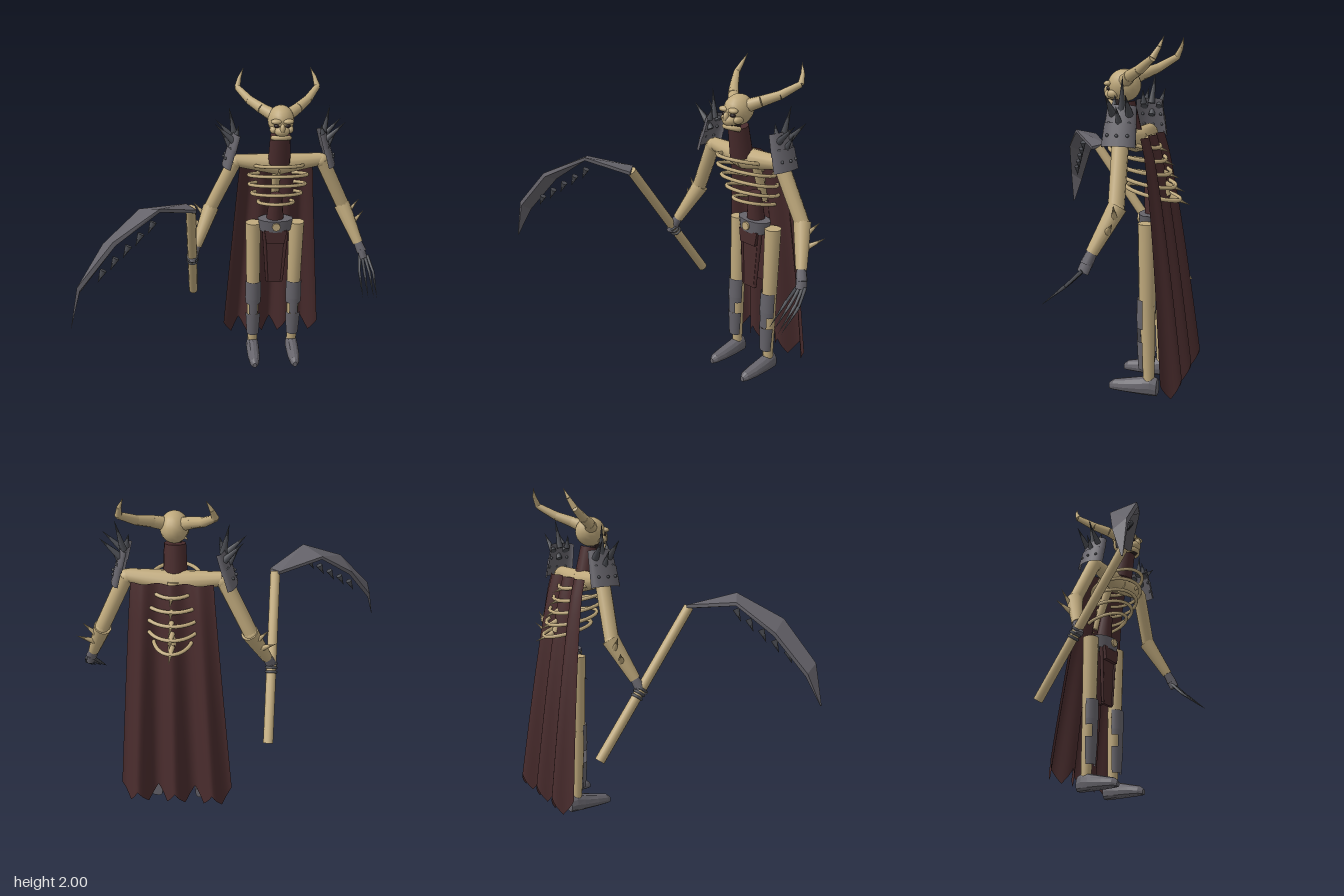
import * as THREE from 'three';

const mat = (name, color, side = THREE.FrontSide) => {
  const m = new THREE.MeshStandardMaterial({ color, side });
  m.name = name;
  return m;
};
const V = (x, y, z) => new THREE.Vector3(x, y, z);

export function createModel() {
  const root = new THREE.Group();
  root.name = 'hornedSkeletonReaper';
  const body = new THREE.Group();
  body.name = 'body';
  body.position.x = 0.3;
  root.add(body);

  const bone = mat('bone', 0xbfa97c);
  const steel = mat('steel', 0x65636a, THREE.DoubleSide);
  const darkSteel = mat('dark steel', 0x4a4c52);
  const cloth = mat('dark red cloth', 0x482b2c, THREE.DoubleSide);
  const dark = mat('mouth shadow', 0x2a2020);

  const add = (name, geo, m, parent = body) => {
    const mesh = new THREE.Mesh(geo, m);
    mesh.name = name;
    parent.add(mesh);
    return mesh;
  };
  // Tapered rod between two points
  const rod = (name, a, b, r1, r2, m, parent = body, sides = 12) => {
    const d = b.clone().sub(a);
    const mesh = add(name, new THREE.CylinderGeometry(r2, r1, d.length(), sides), m, parent);
    mesh.position.copy(a).addScaledVector(d, 0.5);
    mesh.quaternion.setFromUnitVectors(V(0, 1, 0), d.normalize());
    return mesh;
  };
  const ball = (name, p, s, m, parent = body) => {
    const mesh = add(name, new THREE.SphereGeometry(1, 16, 12), m, parent);
    mesh.position.copy(p);
    mesh.scale.copy(s);
    return mesh;
  };
  // Closed skin over equal-sized rings of points
  const loft = (rings) => {
    const n = rings[0].length, pos = rings.flat().flatMap((p) => [p.x, p.y, p.z]), idx = [];
    for (let i = 0; i < rings.length - 1; i++)
      for (let j = 0; j < n; j++) {
        const a = i * n + j, b = i * n + (j + 1) % n;
        idx.push(a, b, a + n, b, b + n, a + n);
      }
    for (let j = 1; j < n - 1; j++) {
      const e = (rings.length - 1) * n;
      idx.push(0, j + 1, j, e, e + j, e + j + 1);
    }
    const g = new THREE.BufferGeometry();
    g.setAttribute('position', new THREE.Float32BufferAttribute(pos, 3));
    g.setIndex(idx);
    const flat = g.toNonIndexed();
    flat.computeVertexNormals();
    return flat;
  };

  // Skull, muzzle and open jaw
  ball('cranium', V(0, 1.735, -0.2), V(0.08, 0.09, 0.095), bone);
  ball('upperJaw', V(0, 1.685, -0.135), V(0.048, 0.035, 0.05), bone);
  ball('noseRidge', V(0, 1.705, -0.1), V(0.016, 0.03, 0.02), bone);
  const mouth = add('mouth', new THREE.BoxGeometry(0.065, 0.04, 0.07), dark);
  mouth.position.set(0, 1.652, -0.15);
  const jaw = add('lowerJaw', new THREE.TorusGeometry(0.05, 0.015, 8, 16, Math.PI), bone);
  jaw.position.set(0, 1.635, -0.16);
  jaw.rotation.x = Math.PI / 2 - 0.25;
  rod('neck', V(0, 1.46, -0.235), V(0, 1.64, -0.2), 0.07, 0.062, cloth);

  // Spine, ribs and back spikes
  rod('spine', V(0, 1.46, -0.33), V(0, 1.13, -0.45), 0.03, 0.025, bone);
  rod('abdomen', V(0, 1.2, -0.36), V(0, 1.0, -0.385), 0.04, 0.06, cloth);
  const ribW = [0.15, 0.185, 0.18, 0.16, 0.115];
  ribW.forEach((w, i) => {
    const y = 1.435 - i * 0.072, z = -0.25 - i * 0.03, pts = [];
    for (let k = 0; k < 20; k++) {
      const a = (k / 20) * Math.PI * 2;
      pts.push(V(w * Math.cos(a), y + 0.035 * Math.sin(a), z + 0.155 * Math.sin(a)));
    }
    add('rib', new THREE.TubeGeometry(new THREE.CatmullRomCurve3(pts, true), 40, 0.0115, 7, true), bone);
    rod('backSpike', V(0, y - 0.02, z - 0.1), V(0, y - 0.06, z - 0.215), 0.02, 0, bone, body, 8);
  });

  // Belt and buckle
  const belt = add('belt', new THREE.CylinderGeometry(0.12, 0.105, 0.08, 10), steel);
  belt.position.set(0, 0.99, -0.37);
  belt.scale.z = 0.62;
  const buckle = add('buckle', new THREE.CylinderGeometry(0.028, 0.028, 0.012, 8), bone);
  buckle.position.set(0, 0.995, -0.293);
  buckle.rotation.x = Math.PI / 2;

  // Loincloth: short flap over a long tapered panel with side strips
  const rect = (w, y, z, t) => [V(-w, y, z + t), V(w, y, z + t), V(w, y, z - t), V(-w, y, z - t)];
  add('loinclothFlap', loft([rect(0.06, 0.87, -0.325, 0.012), rect(0.075, 0.96, -0.325, 0.012)].reverse()), cloth);
  add('loincloth', loft([rect(0.075, 0.95, -0.35, 0.01), rect(0.05, 0.57, -0.35, 0.01)]), cloth);
  for (const s of [-1, 1]) {
    rod('loinclothStrip', V(s * 0.075, 0.95, -0.345), V(s * 0.05, 0.58, -0.345), 0.014, 0.01, cloth, body, 6);
  }
  add('backCloth', loft([rect(0.08, 0.95, -0.41, 0.01), rect(0.055, 0.6, -0.435, 0.01)]), cloth);

  // Cape with three folds and a ragged hem
  const cape = new THREE.PlaneGeometry(1, 1, 48, 14), cp = cape.attributes.position;
  for (let i = 0; i < cp.count; i++) {
    const u = cp.getX(i) + 0.5, t = 0.5 - cp.getY(i);
    const hem = 0.06 + 0.1 * Math.abs(((u * 6) % 1) * 2 - 1);
    const fold = Math.cos((u - 0.5) * Math.PI * 6);
    cp.setXYZ(i, (u - 0.5) * (0.46 + 0.22 * t), 1.47 + (hem - 1.47) * t,
      -0.375 - 0.19 * Math.pow(t, 0.75) - (0.012 + 0.034 * t) * fold);
  }
  cape.computeVertexNormals();
  add('cape', cape, cloth);

  for (const s of [-1, 1]) {
    const P = (x, y, z) => V(s * x, y, z);
    // Horn
    const horn = [P(0.035, 1.755, -0.21), P(0.11, 1.79, -0.265), P(0.18, 1.825, -0.34), P(0.25, 1.885, -0.43), P(0.235, 1.94, -0.46), P(0.207, 2, -0.48)];
    const hr = [0.04, 0.033, 0.027, 0.019, 0.012, 0];
    for (let i = 0; i < 5; i++) rod('horn', horn[i], horn[i + 1], hr[i], hr[i + 1], bone, body, 10);
    // Brow, eye socket and cheek
    ball('brow', P(0.036, 1.745, -0.118), V(0.034, 0.016, 0.025), bone);
    ball('eyeSocket', P(0.032, 1.718, -0.122), V(0.018, 0.012, 0.016), dark);
    ball('cheek', P(0.05, 1.69, -0.15), V(0.022, 0.024, 0.035), bone);

    // Collar bone and arm
    rod('collarBone', V(0, 1.435, -0.27), P(0.27, 1.465, -0.27), 0.068, 0.04, bone);
    ball('shoulder', P(0.27, 1.455, -0.27), V(0.045, 0.045, 0.045), bone);
    rod('upperArm', P(0.275, 1.46, -0.27), P(0.435, 1.13, -0.3), 0.045, 0.043, bone);
    ball('elbow', P(0.435, 1.13, -0.3), V(0.045, 0.045, 0.045), bone);
    rod('forearm', P(0.425, 1.145, -0.305), P(0.525, 0.915, -0.2), 0.052, 0.033, bone);
    rod('elbowSpike', P(0.46, 1.08, -0.3), P(0.54, 1.175, -0.32), 0.02, 0, bone, body, 8);
    rod('elbowSpike', P(0.49, 1.02, -0.27), P(0.58, 1.09, -0.33), 0.02, 0, bone, body, 8);
    rod('wrist', P(0.515, 0.94, -0.21), P(0.55, 0.86, -0.18), 0.026, 0.034, steel, body, 8);
    const palm = rod('palm', P(0.545, 0.875, -0.185), P(0.56, 0.82, -0.165), 0.036, 0.036, steel, body, 8);
    palm.scale.z = 0.7;

    // Shoulder plates, rivets and spikes
    for (let k = 0; k < 2; k++) {
      const g = new THREE.CylinderGeometry(0.08 + k * 0.008, 0.088 + k * 0.006, 0.125, 10, 1, true, -0.25, Math.PI + 0.5);
      const plate = add('shoulderPlate', g, steel);
      plate.scale.set(s * 0.45, 1, 1);
      plate.position.copy(P(0.268 + k * 0.03, 1.58 - k * 0.09, -0.27));
      plate.rotation.z = s * 0.27;
      for (let j = -1; j <= 1; j++)
        ball('rivet', P(0.315 + k * 0.03 - Math.abs(j) * 0.012, 1.555 - k * 0.06, -0.27 + j * 0.055), V(0.009, 0.009, 0.009), darkSteel);
    }
    rod('shoulderSpike', P(0.275, 1.62, -0.275), P(0.31, 1.8, -0.29), 0.022, 0, darkSteel, body, 8);
    rod('shoulderSpike', P(0.285, 1.6, -0.23), P(0.4, 1.71, -0.225), 0.022, 0, darkSteel, body, 8);
    rod('shoulderSpike', P(0.285, 1.6, -0.32), P(0.39, 1.71, -0.33), 0.022, 0, darkSteel, body, 8);
    rod('shoulderSpike', P(0.27, 1.62, -0.23), P(0.25, 1.7, -0.23), 0.02, 0, darkSteel, body, 8);
    rod('shoulderSpike', P(0.3, 1.55, -0.27), P(0.36, 1.65, -0.27), 0.02, 0, darkSteel, body, 8);

    // Leg
    rod('thigh', P(0.145, 1.0, -0.38), P(0.14, 0.52, -0.385), 0.051, 0.046, bone, body, 14);
    rod('shin', P(0.14, 0.53, -0.385), P(0.14, 0.07, -0.4), 0.046, 0.032, bone, body, 14);
    // Greave: knee guard, notched shin guard
    const shell = (name, r1, r2, h, y, start, len) => {
      const m = add(name, new THREE.CylinderGeometry(r1, r2, h, 10, 1, true, start, len), steel);
      m.position.copy(P(0.14, y, -0.38));
    };
    shell('kneeGuard', 0.053, 0.055, 0.13, 0.505, -1.45, 2.9);
    shell('shinGuard', 0.054, 0.052, 0.05, 0.425, -1.45, 2.9);
    shell('shinGuard', 0.052, 0.05, 0.08, 0.365, -0.6, 1.2);
    shell('shinGuard', 0.052, 0.042, 0.17, 0.24, -1.45, 2.9);
    // Pointed shoe
    const foot = [[-0.45, 0.036, 0.1], [-0.41, 0.043, 0.115], [-0.36, 0.045, 0.1], [-0.26, 0.042, 0.075], [-0.19, 0.032, 0.058], [-0.162, 0.014, 0.035]];
    add('shoe', loft(foot.map(([z, w, h]) => Array.from({ length: 12 }, (_, j) => {
      const a = (j / 12) * Math.PI * 2;
      return V(s * 0.14 + w * Math.cos(a), Math.max(0, h * (0.42 + 0.58 * Math.sin(a))), z);
    }))), steel);
  }

  // Left claws
  const tips = [0.525, 0.56, 0.595, 0.615];
  tips.forEach((x, i) => {
    const k = V(0.535 + i * 0.017, 0.835, -0.17), m = V((k.x + x) / 2 + 0.006 * (i - 1), 0.755, -0.09);
    rod('finger', k, m, 0.011, 0.009, darkSteel, body, 6);
    rod('claw', m, V(x, 0.635, 0.05), 0.01, 0, darkSteel, body, 6);
  });
  // Right fingers wrapped around the staff
  const scythe = new THREE.Group();
  scythe.name = 'scythe';
  root.add(scythe);
  const top = V(-0.253, 1.31, 0.155), low = V(-0.253, 0.47, -0.455);
  rod('staff', low, top, 0.03, 0.03, bone, scythe, 12);
  for (let i = 0; i < 3; i++) {
    const f = add('grip', new THREE.TorusGeometry(0.03, 0.009, 6, 14), darkSteel, scythe);
    f.position.lerpVectors(low, top, 0.41 + i * 0.025);
    f.quaternion.setFromUnitVectors(V(0, 0, 1), top.clone().sub(low).normalize());
  }

  // Curved blade: outer and inner edge with a little thickness
  const outer = [V(-0.22, 1.315, 0.19), V(-0.42, 1.4, 0.38), V(-0.67, 1.27, 0.525), V(-0.87, 1.04, 0.595), V(-0.92, 0.8, 0.605)];
  const inner = [V(-0.28, 1.33, 0.12), V(-0.54, 1.365, 0.28), V(-0.74, 1.21, 0.4), V(-0.885, 0.99, 0.52), V(-0.92, 0.805, 0.595)];
  const blade = outer.map((p, i) => {
    const q = inner[i], t = i === 4 ? 0.002 : 0.02;
    const off = V(i > 1 ? 0.7 * t : 0, -t, 0);
    return [p, q, q.clone().add(off), p.clone().add(off)];
  });
  add('blade', loft(blade), steel, scythe);
  // Teeth below the blade
  for (let i = 0; i < 5; i++) {
    const b = V(-0.46, 1.31, 0.345).lerp(V(-0.735, 1.095, 0.5), i / 4);
    rod('bladeTooth', b, b.clone().add(V(-0.035, -0.07, 0.01)), 0.02, 0, darkSteel, scythe, 6);
  }
  return root;
}
